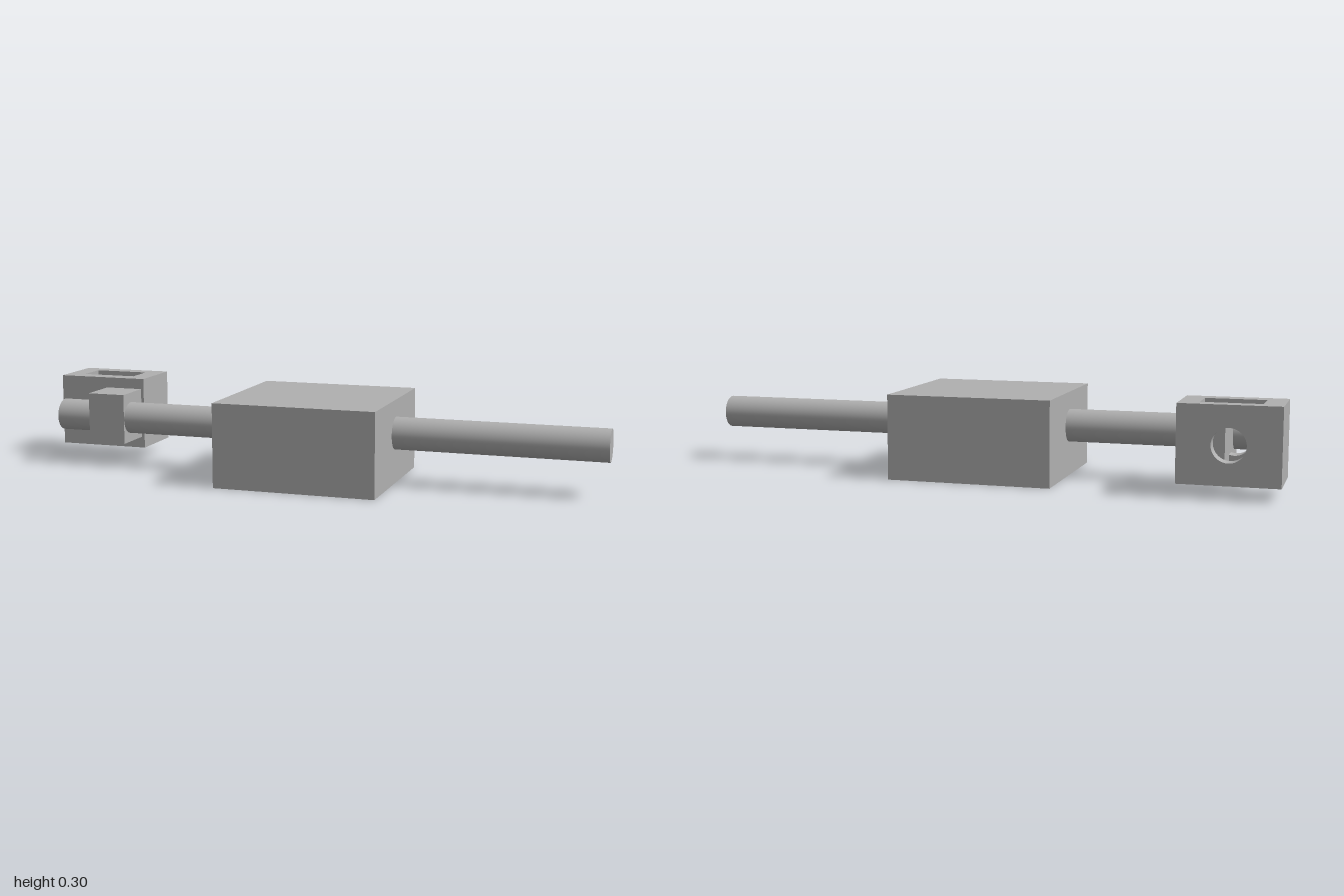
import * as THREE from 'three';

const grey = new THREE.MeshStandardMaterial({ color: 0xb0b0b0 });
grey.name = 'grey';

const AXIS_Y = 0.171, AXIS_Z = 0.0165, RADIUS = 0.055;

function add(parent, name, geometry) {
  const mesh = new THREE.Mesh(geometry, grey);
  mesh.name = name;
  parent.add(mesh);
}

// Box given by its limits on each axis
function block(x0, x1, y0, y1, z0, z1) {
  return new THREE.BoxGeometry(x1 - x0, y1 - y0, z1 - z0)
    .translate((x0 + x1) / 2, (y0 + y1) / 2, (z0 + z1) / 2);
}

function trace(path, x0, x1, y0, y1) {
  path.moveTo(x0, y0).lineTo(x1, y0).lineTo(x1, y1).lineTo(x0, y1).closePath();
  return path;
}

// Rectangular plate with one hole, extruded along z
function plate(x0, x1, y0, y1, hole, depth) {
  const shape = trace(new THREE.Shape(), x0, x1, y0, y1);
  shape.holes.push(hole);
  return new THREE.ExtrudeGeometry(shape, { depth, bevelEnabled: false, curveSegments: 32 });
}

export function createModel() {
  const model = new THREE.Group();
  model.name = 'shaftAssembly';

  // Long round shaft
  add(model, 'shaft', new THREE.CylinderGeometry(RADIUS, RADIUS, 1.945, 48)
    .rotateZ(Math.PI / 2).translate(0.0275, AXIS_Y, AXIS_Z));

  // Housing: solid cap above a rim that leaves a pocket open below
  const housing = new THREE.Group();
  housing.name = 'housing';
  const pocketTop = 0.108;
  const pocket = trace(new THREE.Path(), -0.115, 0.14, -0.192, 0.163);
  add(housing, 'housingRim',
    plate(-0.265, 0.29, -0.28, 0.247, pocket, pocketTop).rotateX(-Math.PI / 2));
  add(housing, 'housingCap', block(-0.265, 0.29, pocketTop, 0.285, -0.247, 0.28));
  model.add(housing);

  // Bracket: vertical slot between two drilled walls
  const bracket = new THREE.Group();
  bracket.name = 'bracket';
  for (const [name, z0, z1] of [['backWall', -0.28, -0.23], ['frontWall', -0.126, -0.072]]) {
    const bore = new THREE.Path().absarc(-0.8375, AXIS_Y, RADIUS, 0, Math.PI * 2, true);
    add(bracket, name, plate(-1, -0.675, 0.045, 0.297, bore, z1 - z0).translate(0, 0, z0));
  }
  add(bracket, 'outerSide', block(-1, -0.935, 0.045, 0.297, -0.23, -0.126));
  add(bracket, 'innerSide', block(-0.74, -0.675, 0.045, 0.297, -0.23, -0.126));
  model.add(bracket);

  // Arm clasping the shaft and reaching into the bracket slot
  add(model, 'arm', block(-0.82, -0.685, 0.085, 0.26, -0.23, 0.073));

  return model;
}
